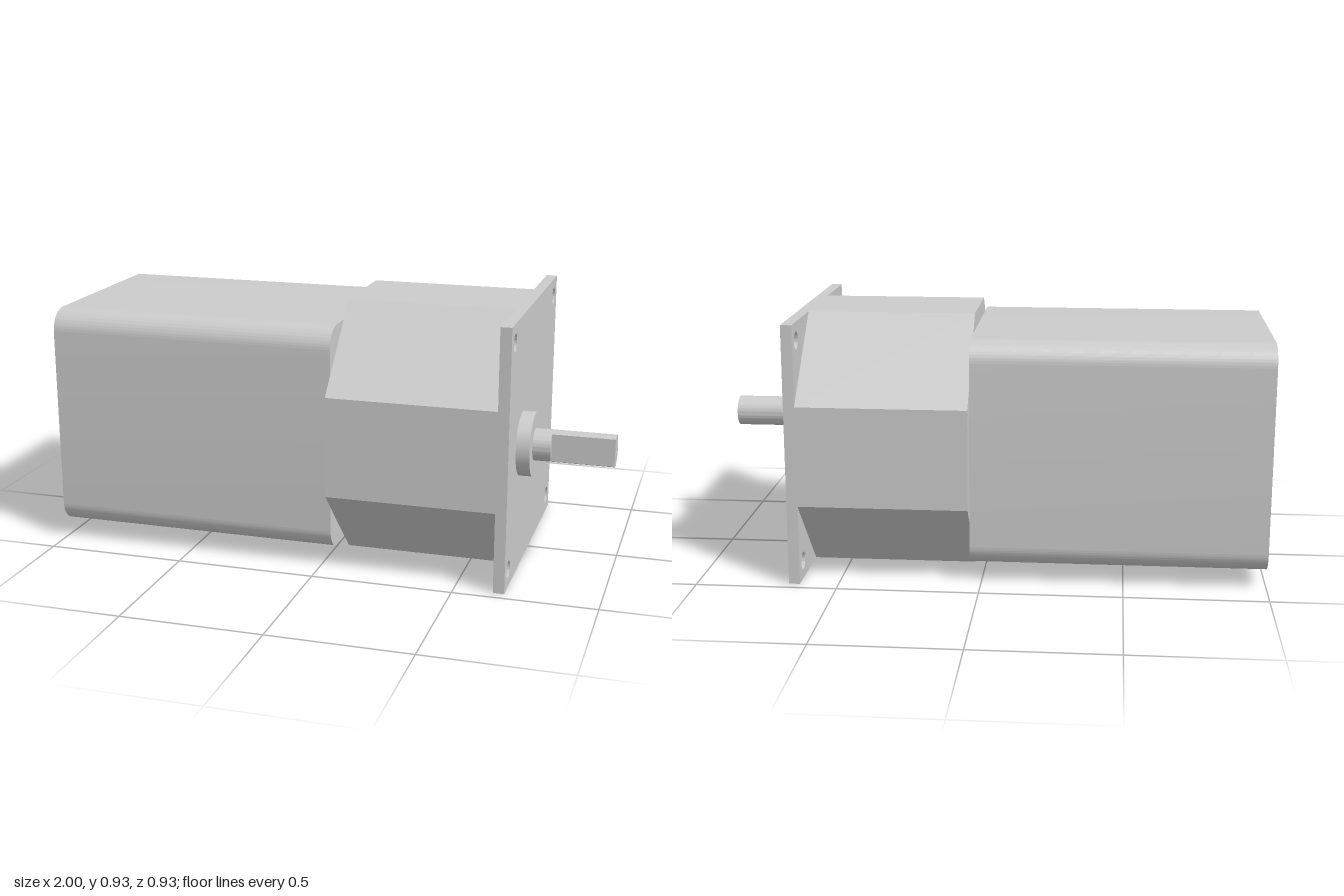
import * as THREE from 'three';
import { toCreasedNormals } from 'three/addons/utils/BufferGeometryUtils.js';

const CY = 0.463;       // height of the main axis
const SHAFT_U = -0.213; // output shaft offset (section u axis = -z)

export function createModel() {
  const group = new THREE.Group();
  const material = new THREE.MeshStandardMaterial({ color: 0xcccccc });

  // Extrudes a cross-section along x from x0 to x1
  function addSection(name, shape, x0, x1) {
    let geo = new THREE.ExtrudeGeometry(shape, { depth: x1 - x0, bevelEnabled: false, curveSegments: 32 });
    geo = toCreasedNormals(geo, Math.PI / 6);
    geo.rotateY(Math.PI / 2);
    geo.translate(x0, CY, 0);
    const mesh = new THREE.Mesh(geo, material);
    mesh.name = name;
    group.add(mesh);
  }

  const polygon = (pts) => new THREE.Shape(pts.map(([u, v]) => new THREE.Vector2(u, v)));
  const disc = (u, r) => new THREE.Shape().absarc(u, 0, r, 0, Math.PI * 2, false);

  // Motor housing: square with rounded corners
  const h = 0.403, r = 0.078, c = h - r;
  const housing = new THREE.Shape();
  [[c, c], [-c, c], [-c, -c], [c, -c]].forEach(([u, v], i) =>
    housing.absarc(u, v, r, i * Math.PI / 2, (i + 1) * Math.PI / 2, false));
  housing.closePath();
  addSection('motorHousing', housing, -1, 0.04);

  // Gearbox: square with large chamfers
  const g = 0.463, f = 0.178;
  addSection('gearbox', polygon([[g, -f], [g, f], [f, g], [-f, g], [-g, f], [-g, -f], [-f, -g], [f, -g]]), 0.04, 0.636);

  // Mounting flange with four bolt holes
  const flange = polygon([[-g, -g], [g, -g], [g, g], [-g, g]]);
  for (const u of [-0.398, 0.398])
    for (const v of [-0.398, 0.398])
      flange.holes.push(new THREE.Path().absarc(u, v, 0.031, 0, Math.PI * 2, true));
  addSection('mountingFlange', flange, 0.636, 0.675);

  // Offset boss and output shaft, ending in a D-shaped section
  addSection('shaftBoss', disc(SHAFT_U, 0.113), 0.675, 0.722);
  addSection('shaftBase', disc(SHAFT_U, 0.056), 0.722, 0.784);
  const dCut = new THREE.Shape().absarc(SHAFT_U, 0, 0.056, -Math.PI * 2 / 3, Math.PI * 2 / 3, false);
  dCut.closePath();
  addSection('shaftFlatEnd', dCut, 0.784, 1);

  return group;
}
